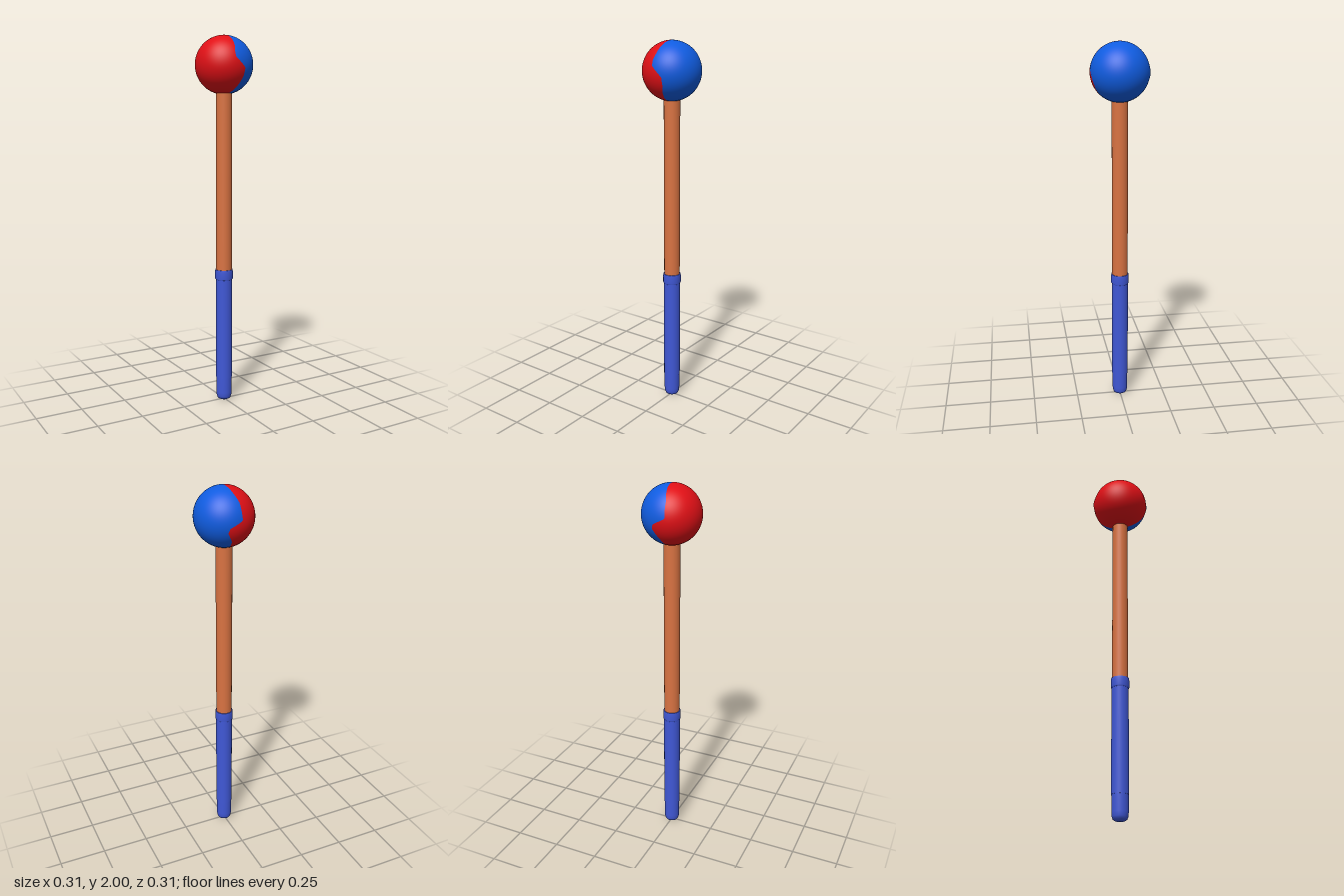
import * as THREE from 'three';
import { ParametricGeometry } from 'three/addons/geometries/ParametricGeometry.js';

const BALL_RADIUS = 0.154;
const BALL_Y = 1.846;

// Wavy colour seam on the unit ball: [height, sideways offset], top to bottom
const FRONT_SEAM = [[1, 0], [0.6, -0.05], [0.4, -0.1], [0.22, -0.1], [-0.13, 0.27], [-0.4, 0.25], [-0.75, 0.12], [-1, 0]];
const BACK_SEAM = [[1, 0], [0.59, -0.16], [0.07, -0.19], [-0.14, 0.23], [-0.3, 0.28], [-0.64, 0.08], [-1, 0]];

// Angle of the seam away from the middle plane at a given height
function seamAngle(seam, y) {
  let i = 0;
  while (i < seam.length - 2 && y < seam[i + 1][0]) i++;
  const [y0, x0] = seam[i], [y1, x1] = seam[i + 1];
  const x = THREE.MathUtils.lerp(x0, x1, (y0 - y) / (y0 - y1));
  const ring = Math.sqrt(Math.max(1 - y * y, 1e-6));
  return Math.asin(THREE.MathUtils.clamp(x / ring, -1, 1));
}

// One coloured half of the ball, swept between the two seams
function ballHalf(isLeft) {
  const geometry = new ParametricGeometry((u, v, target) => {
    const latitude = (v - 0.5) * Math.PI;
    const y = Math.sin(latitude), ring = Math.cos(latitude);
    const front = seamAngle(FRONT_SEAM, y);
    const back = Math.PI - seamAngle(BACK_SEAM, y);
    const angle = isLeft
      ? THREE.MathUtils.lerp(front, back, u)
      : THREE.MathUtils.lerp(back, front + Math.PI * 2, u);
    const x = Math.sin(angle) * ring, z = Math.cos(angle) * ring;
    // Slight swelling of the equator on both sides of the seam
    const swell = 1 + 0.03 * Math.exp(-(((Math.abs(x) - 0.33) / 0.13) ** 2) - (y / 0.2) ** 2);
    target.set(x, y, z * swell).multiplyScalar(BALL_RADIUS);
  }, 32, 64);

  // Radial normals keep the ball smooth across the seam and at the poles
  const position = geometry.attributes.position, normal = geometry.attributes.normal;
  const p = new THREE.Vector3();
  for (let i = 0; i < position.count; i++) {
    p.fromBufferAttribute(position, i).normalize();
    normal.setXYZ(i, p.x, p.y, p.z);
  }
  return geometry;
}

export function createModel() {
  const model = new THREE.Group();
  model.name = 'mallet';

  function add(name, geometry, color, y = 0) {
    const mesh = new THREE.Mesh(geometry, new THREE.MeshStandardMaterial({ color }));
    mesh.name = name;
    mesh.position.y = y;
    model.add(mesh);
  }

  // Two-coloured ball head
  add('ballLeftHalf', ballHalf(true), 0x105ce0, BALL_Y);
  add('ballRightHalf', ballHalf(false), 0xe01016, BALL_Y);

  // Wooden shaft, running into the ball and the grip
  add('shaft', new THREE.CylinderGeometry(0.043, 0.043, 1.05, 32), 0xd97342, 1.215);

  // Grip sections as [radius, height] profiles, each a separate smooth run
  const sections = {
    gripTip: [[0, 0], [0.025, 0.002], [0.036, 0.009], [0.041, 0.023], [0.043, 0.045], [0.043, 0.13]],
    gripSleeve: [[0.045, 0.13], [0.045, 0.7]],
    gripCollar: [[0.045, 0.69], [0.049, 0.695], [0.049, 0.735], [0.047, 0.745]],
    gripTop: [[0.047, 0.745], [0.04, 0.745]],
    gripSleeveEnd: [[0.04, 0.13], [0.045, 0.13]],
  };
  for (const [name, points] of Object.entries(sections)) {
    const profile = points.map(([r, y]) => new THREE.Vector2(r, y));
    add(name, new THREE.LatheGeometry(profile, 32), 0x4058d6);
  }

  return model;
}
